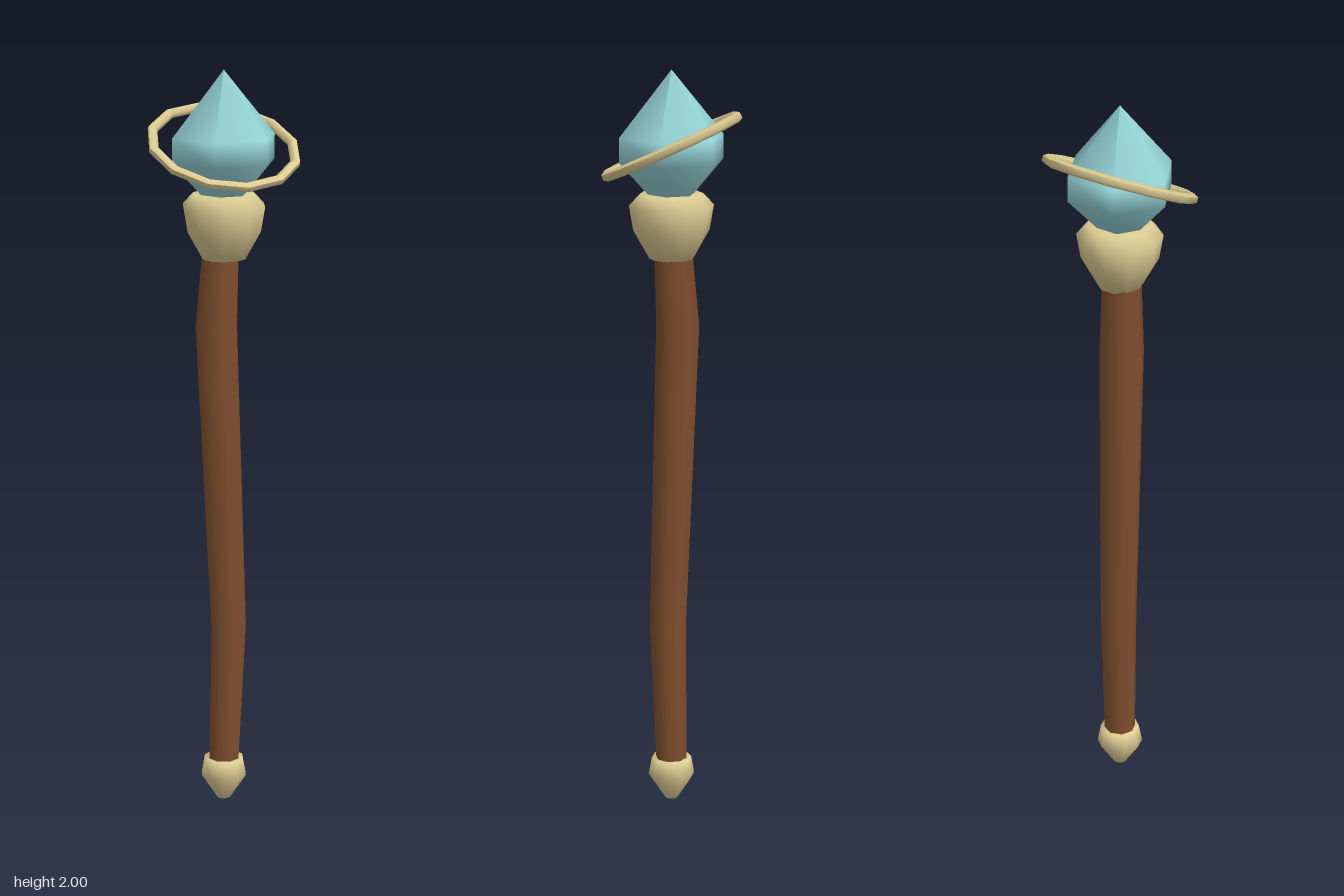
import * as THREE from 'three';

const gold = new THREE.MeshStandardMaterial({ color: 0xdccb92 });
gold.name = 'paleGold';
const wood = new THREE.MeshStandardMaterial({ color: 0x7f4e2d });
wood.name = 'brownWood';
const gem = new THREE.MeshStandardMaterial({ color: 0x94d2d5 });
gem.name = 'aquaCrystal';

// Turned part from [radius, height] pairs listed bottom to top, one corner on the x axis
function turned(name, profile, sides, material) {
  const points = profile.map(([r, y]) => new THREE.Vector2(r, y));
  const geometry = new THREE.LatheGeometry(points, sides, Math.PI / 2);
  const mesh = new THREE.Mesh(geometry, material);
  mesh.name = name;
  return mesh;
}

// Slightly crooked shaft: each row is [x, y, z, radius], top to bottom
function makeShaft() {
  const rows = [
    [-0.008, 1.53, -0.003, 0.051],
    [-0.016, 1.33, -0.013, 0.058],
    [0.011, 0.5, 0.008, 0.05],
    [0, 0.1, 0, 0.043],
  ];
  const sides = 8;
  const geometry = new THREE.CylinderGeometry(1, 1, 1, sides, rows.length - 1, true);
  const position = geometry.attributes.position;
  for (let i = 0; i < position.count; i++) {
    const [x, y, z, r] = rows[Math.floor(i / (sides + 1))];
    position.setXYZ(i, x + r * position.getX(i), y, z + r * position.getZ(i));
  }
  const mesh = new THREE.Mesh(geometry, wood);
  mesh.name = 'shaft';
  return mesh;
}

// Twelve-sided ring with a hexagonal section, raised at the back
function makeRing() {
  const section = [];
  for (let i = 0; i <= 6; i++) {
    const a = Math.PI / 6 + (i * Math.PI) / 3;
    section.push([0.19 + 0.0135 * Math.cos(a), 0.0135 * Math.sin(a)]);
  }
  const ring = turned('floatingRing', section, 12, gold);
  ring.position.y = 1.803;
  ring.rotation.x = THREE.MathUtils.degToRad(25);
  return ring;
}

export function createModel() {
  const group = new THREE.Group();
  group.name = 'staff';
  group.add(
    turned('footCap', [[0, 0], [0.018, 0], [0.063, 0.07], [0.054, 0.118], [0, 0.118]], 10, gold),
    makeShaft(),
    turned('headCup', [[0, 1.51], [0.058, 1.51], [0.1, 1.585], [0.111, 1.65], [0.083, 1.68], [0, 1.68]], 10, gold),
    turned('crystal', [[0, 1.65], [0.045, 1.66], [0.141, 1.765], [0.141, 1.83], [0, 2]], 6, gem),
    makeRing()
  );
  return group;
}
